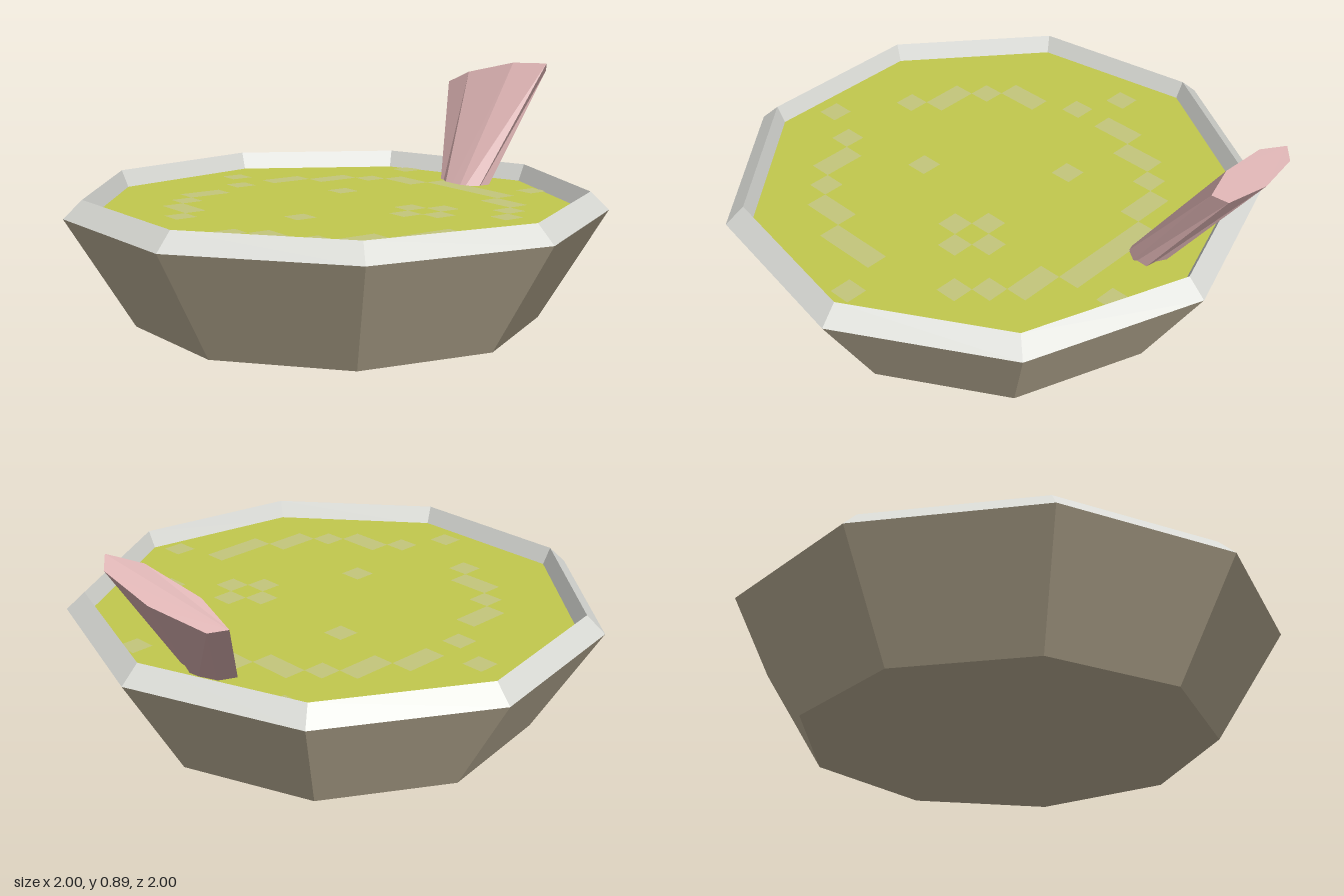
import * as THREE from 'three';

const SIDES = 9;
const START = Math.PI / SIDES;   // flat side to the front, corner to the back
const CELL = 0.0858;             // grid size of the floating patches
const LEVEL = 0.415;             // liquid height

const paint = (name, color) => {
  const m = new THREE.MeshStandardMaterial({ color });
  m.name = name;
  return m;
};

// Split the faces so that every facet is flat
function faceted(geometry) {
  const g = geometry.index ? geometry.toNonIndexed() : geometry;
  g.computeVertexNormals();
  return g;
}

// Nine-sided shell from a list of [radius, height]
function nonagon(profile) {
  const points = profile.map(([r, y]) => new THREE.Vector2(r, y));
  const g = new THREE.LatheGeometry(points, SIDES, START);
  g.scale(1, 1, 0.991);
  g.translate(0, 0, 0.055);
  return faceted(g);
}

// Tapered handle lofted between two rings, closed on top
function loft(low, top) {
  const pos = [];
  const n = top.length;
  const tri = (...corners) => corners.forEach(c => pos.push(...c));
  for (let i = 0; i < n; i++) {
    const j = (i + 1) % n;
    tri(low[i], low[j], top[j]);
    tri(low[i], top[j], top[i]);
    if (i > 0 && i < n - 1) tri(top[0], top[i], top[j]);
  }
  const g = new THREE.BufferGeometry();
  g.setAttribute('position', new THREE.Float32BufferAttribute(pos, 3));
  return faceted(g);
}

export function createModel() {
  const model = new THREE.Group();
  const add = (name, geometry, material, parent = model) => {
    const mesh = new THREE.Mesh(geometry, material);
    mesh.name = name;
    parent.add(mesh);
    return mesh;
  };

  const clay = paint('clay', 0xc3b69c);
  const stone = paint('rim grey', 0xd8d9d4);
  const green = paint('liquid green', 0xc2c94e);
  const pale = paint('pale patch', 0xc4c77c);
  const pink = paint('handle pink', 0xdfb5b5);

  // Bowl with flat underside
  add('bowl', nonagon([[0, 0], [0.762, 0], [1.015, 0.413]]), clay);

  // Bevelled rim: outer slope, ridge, inner wall
  add('rim', nonagon([[1.015, 0.413], [0.945, 0.48], [0.912, 0.405]]), stone);

  // Liquid surface
  add('liquid', nonagon([[0.918, LEVEL], [0, LEVEL]]), green);

  // Floating patches: [column, row, width, depth] in cells
  const patches = new THREE.Group();
  patches.name = 'patches';
  model.add(patches);
  [
    [2, -9], [-6, -8], [-2, -7, 5], [-4, -6, 2], [3, -6, 2], [-5, -5], [5, -5],
    [6, -4], [-6, -4, 1, 2], [3, -3], [-3, -2], [2, -2], [4, -2], [3, -1],
    [-7, -2, 1, 2], [9, -1], [-9, 0], [-7, 1], [7, 0, 1, 3], [1, 3],
    [-6, 3, 1, 2], [6, 3, 1, 2], [-5, 5], [5, 5], [-4, 6, 2], [3, 6, 2],
    [-2, 7], [2, 7], [1, 9],
  ].forEach(([col, row, w = 1, d = 1]) => {
    const g = new THREE.PlaneGeometry(w * CELL, d * CELL).rotateX(-Math.PI / 2);
    const mesh = add('patch', g, pale, patches);
    mesh.position.set((col + w / 2) * CELL, LEVEL + 0.003, (row + d / 2) * CELL);
  });

  // Seven-sided handle leaning out over the back
  const top = [
    [-0.5, 0.775, -0.89], [-0.35, 0.83, -0.875], [-0.11, 0.885, -0.91],
    [0.035, 0.89, -0.96], [-0.01, 0.855, -1.0], [-0.23, 0.8, -0.995], [-0.45, 0.762, -0.94],
  ];
  const waterline = [
    [-0.22, -0.625], [-0.14, -0.585], [-0.05, -0.585],
    [0.006, -0.64], [0.0, -0.695], [-0.08, -0.722], [-0.19, -0.69],
  ].map(([x, z]) => [x, LEVEL, z]);
  // Carry the sides on below the liquid
  const low = top.map((t, i) => t.map((v, k) => v + (waterline[i][k] - v) * 1.2));
  add('handle', loft(low, top), pink);

  return model;
}
